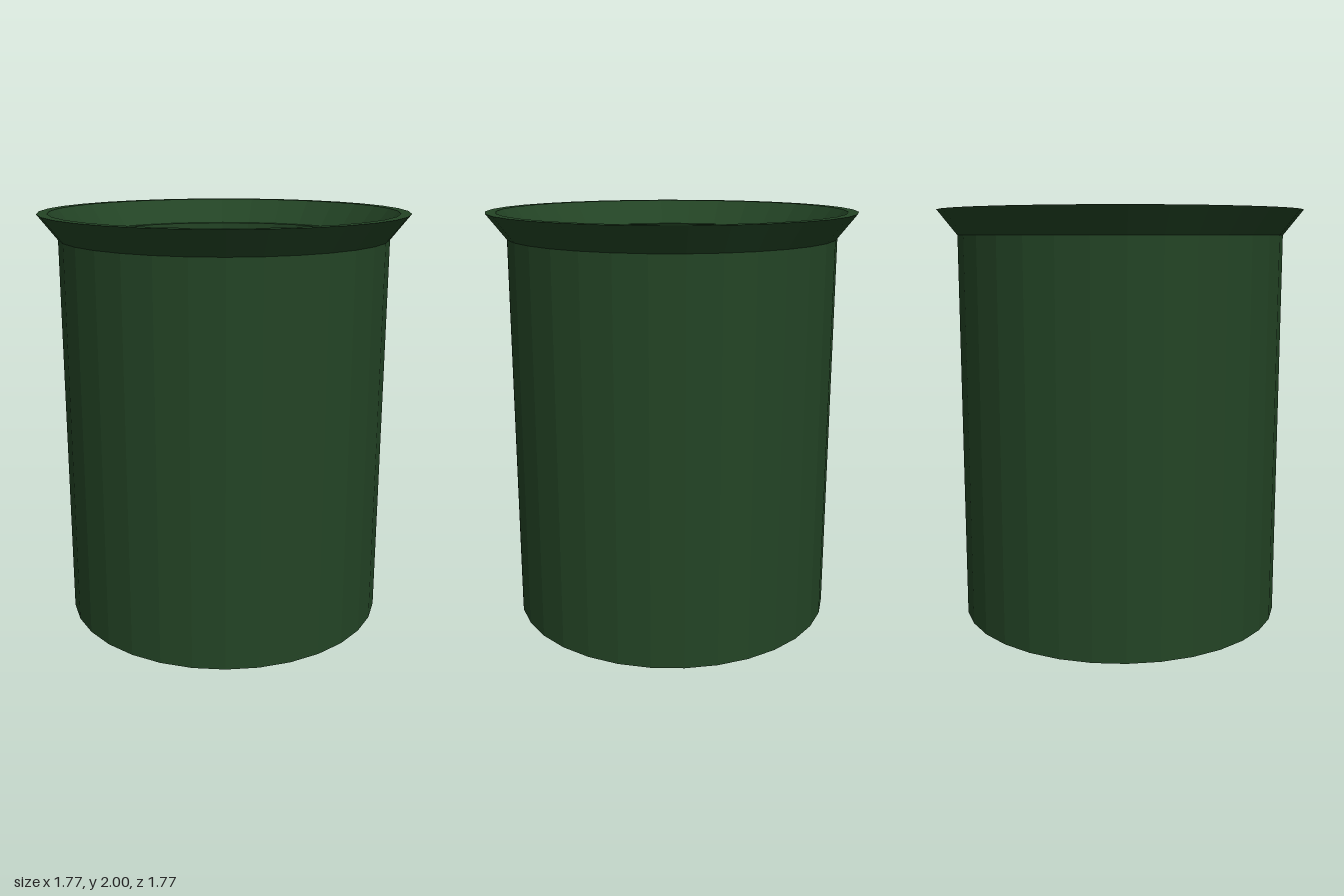
import * as THREE from 'three';

const SIDES = 32;
const green = new THREE.MeshStandardMaterial({ color: 0x234425, flatShading: true });
const grey = new THREE.MeshStandardMaterial({ color: 0x444444, flatShading: true });

// Revolves a [radius, height] profile; outer side runs upward, inner side downward
function turned(name, profile, material) {
  const points = profile.map(([r, y]) => new THREE.Vector2(r, y));
  const mesh = new THREE.Mesh(new THREE.LatheGeometry(points, SIDES), material);
  mesh.name = name;
  return mesh;
}

export function createModel() {
  const group = new THREE.Group();
  group.name = 'container';

  // Straight outer shell with a closed base and a thick wall
  group.add(turned('body', [
    [0, 0], [0.79, 0], [0.79, 1.88], [0.71, 1.88], [0.71, 0.04], [0, 0.04],
  ], green));

  // Flared collar standing on the shell's top edge
  group.add(turned('flaredRim', [
    [0.79, 1.88], [0.885, 2], [0.835, 2], [0.742, 1.88],
  ], green));

  // Inner cup, its lip set a little below the shell's edge
  group.add(turned('liner', [
    [0.71, 1.83], [0.67, 1.83], [0.67, 0.08], [0, 0.08],
  ], grey));

  return group;
}
